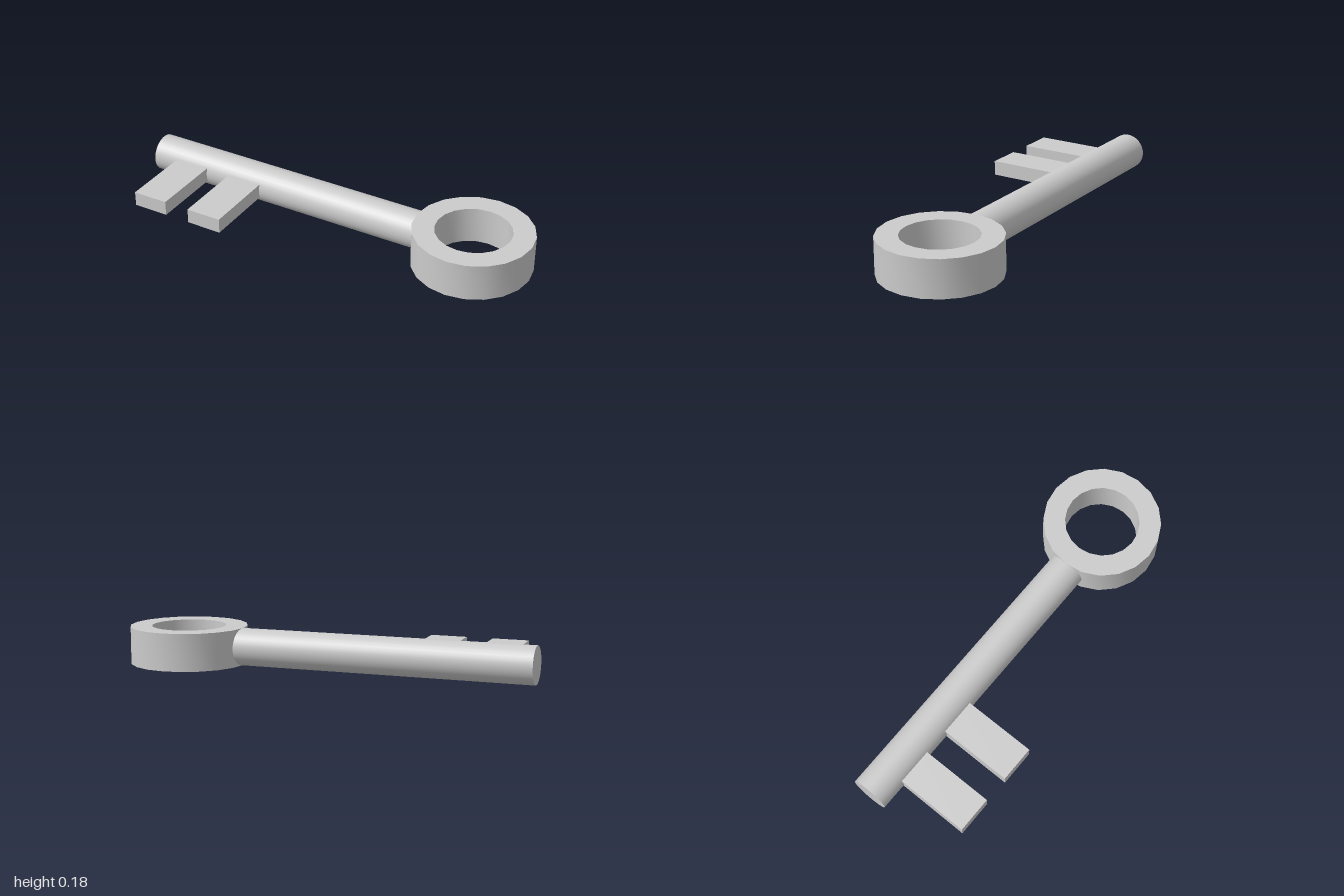
import * as THREE from 'three';
import { toCreasedNormals } from 'three/addons/utils/BufferGeometryUtils.js';

export function createModel() {
  const model = new THREE.Group();
  const material = new THREE.MeshStandardMaterial({ color: 0xcccccc });
  const axisZ = -0.076; // centre line of shaft and ring
  const thickness = 0.18;

  const add = (name, geometry, x, y, z) => {
    const mesh = new THREE.Mesh(geometry, material);
    mesh.name = name;
    mesh.position.set(x, y, z);
    model.add(mesh);
    return mesh;
  };

  // Ring handle: rectangular section turned around the vertical axis
  const outer = 0.285, inner = 0.18;
  const section = [[inner, 0], [outer, 0], [outer, thickness], [inner, thickness], [inner, 0]]
    .map(([r, y]) => new THREE.Vector2(r, y));
  add('ringHandle', toCreasedNormals(new THREE.LatheGeometry(section, 20), 0.6), 0.715, 0, axisZ);

  // Round shaft, ending inside the wall of the ring
  const start = -1, end = 0.48;
  const shaft = new THREE.CylinderGeometry(thickness / 2, thickness / 2, end - start, 32);
  shaft.rotateZ(Math.PI / 2);
  add('shaft', shaft, (start + end) / 2, thickness / 2, axisZ);

  // Two flat teeth rooted in the shaft
  const tipZ = 0.362, rootZ = axisZ;
  [['outerTooth', -0.777], ['innerTooth', -0.472]].forEach(([name, x]) =>
    add(name, new THREE.BoxGeometry(0.177, 0.072, tipZ - rootZ), x, 0.091, (tipZ + rootZ) / 2));

  return model;
}
